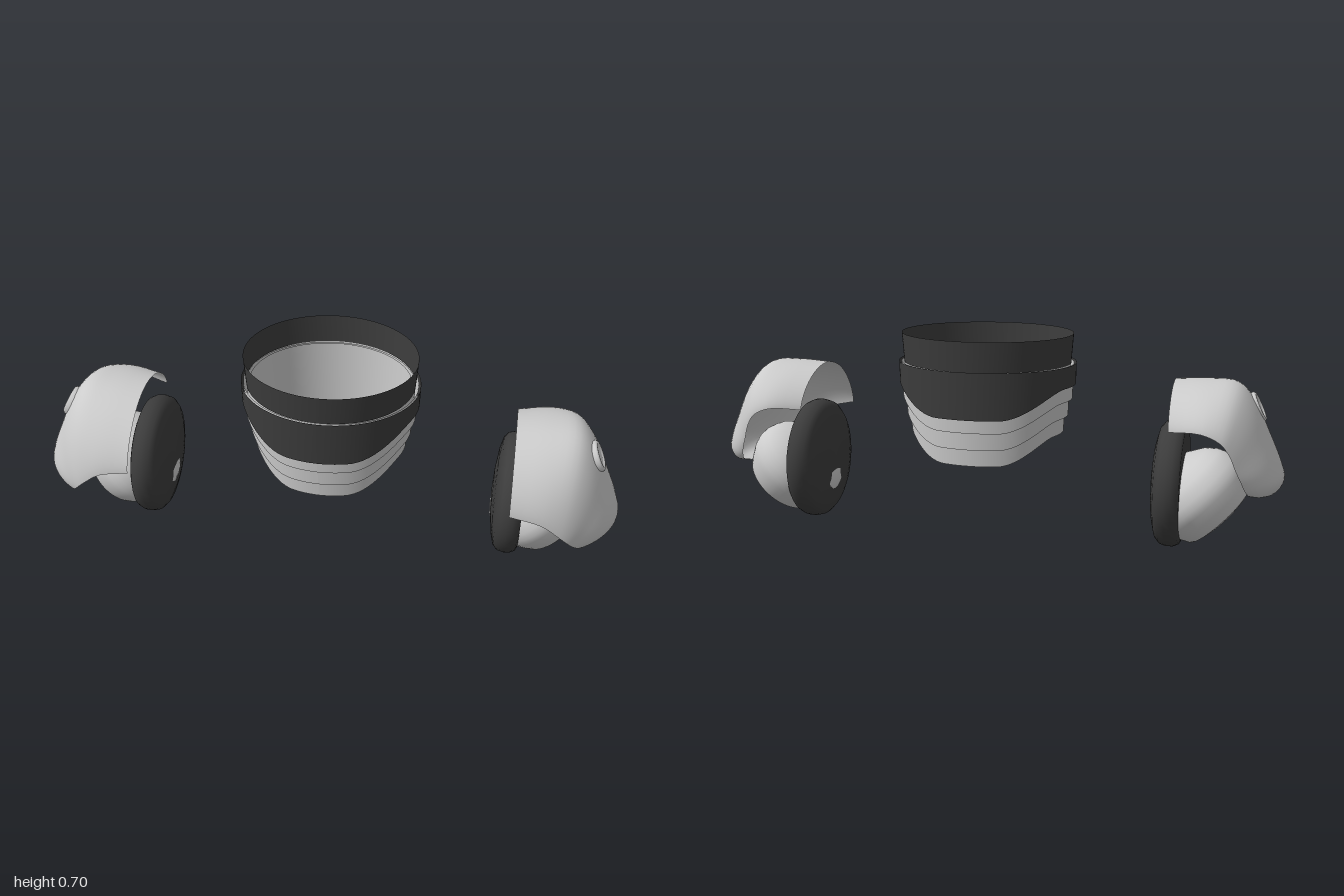
import * as THREE from 'three';

const grey = new THREE.MeshStandardMaterial({ color: 0xcccccc, side: THREE.DoubleSide });
const dark = new THREE.MeshStandardMaterial({ color: 0x3c3c3c, side: THREE.DoubleSide });

function mesh(name, geometry, material) {
  const m = new THREE.Mesh(geometry, material);
  m.name = name;
  return m;
}

function lathe(name, profile, material, segments = 40) {
  return mesh(name, new THREE.LatheGeometry(profile.map(p => new THREE.Vector2(...p)), segments), material);
}

// Open oval band; its lower edge rises by "lift" at the sides
function waistBand(name, rx, rz, top, bottom, lift, taper, material) {
  const g = new THREE.CylinderGeometry(1, 1, 1, 96, 1, true);
  const p = g.attributes.position;
  for (let i = 0; i < p.count; i++) {
    const x = p.getX(i), z = p.getZ(i), low = p.getY(i) < 0;
    const angle = THREE.MathUtils.radToDeg(Math.atan2(Math.abs(x), Math.abs(z)));
    const y = low ? bottom + lift * THREE.MathUtils.smoothstep(angle, 20, 72) : top;
    const k = low ? taper : 1;
    p.setXYZ(i, x * rx * k, y, z * rz * k - 0.03);
  }
  g.computeVertexNormals();
  return mesh(name, g, material);
}

// Shoulder shell: arches from front to back, lofted from the inner edge to the outer lip
function shoulderShell() {
  // crest x, crest y, end x, front end y, front z, back end y, back z
  const arches = [
    [0.63, 0.555, 0.635, 0.36, 0.292, 0.42, -0.175],
    [0.75, 0.562, 0.74, 0.335, 0.29, 0.425, -0.207],
    [0.835, 0.555, 0.80, 0.29, 0.283, 0.40, -0.208],
    [0.89, 0.50, 0.83, 0.26, 0.272, 0.36, -0.198],
    [0.945, 0.39, 0.85, 0.235, 0.255, 0.31, -0.185],
    [0.988, 0.29, 0.868, 0.215, 0.235, 0.27, -0.17],
    [1.0, 0.24, 0.88, 0.198, 0.21, 0.238, -0.152],
    [0.975, 0.198, 0.89, 0.19, 0.17, 0.217, -0.125],
    [0.915, 0.185, 0.885, 0.185, 0.135, 0.208, -0.09],
  ];
  const cols = 32, rows = 32, verts = [], index = [];
  for (let c = 0; c <= cols; c++) {
    const a = (c / cols - 0.5) * Math.PI;
    const drop = 1 - Math.pow(Math.max(Math.cos(a), 0), 1.3);
    const points = arches.map(([cx, cy, ex, fy, fz, by, bz]) => {
      const front = a > 0;
      return new THREE.Vector3(
        cx + (ex - cx) * drop,
        cy + ((front ? fy : by) - cy) * drop,
        0.04 + ((front ? fz : bz) - 0.04) * Math.abs(Math.sin(a)));
    });
    const curve = new THREE.CatmullRomCurve3(points);
    for (let r = 0; r <= rows; r++) verts.push(...curve.getPoint(r / rows).toArray());
  }
  for (let c = 0; c < cols; c++) {
    for (let r = 0; r < rows; r++) {
      const i = c * (rows + 1) + r, j = i + rows + 1;
      index.push(i, j, i + 1, j, j + 1, i + 1);
    }
  }
  const g = new THREE.BufferGeometry();
  g.setAttribute('position', new THREE.Float32BufferAttribute(verts, 3));
  g.setIndex(index);
  g.computeVertexNormals();
  return mesh('shoulderShell', g, grey);
}

function shoulder(name) {
  const group = new THREE.Group();
  group.name = name;
  group.add(shoulderShell());

  // Round socket on the outer slope of the shell
  const socket = lathe('shellSocket', [
    [0.054, -0.012], [0.052, 0.003], [0.047, 0.008], [0.041, 0.008],
    [0.037, 0.004], [0.034, 0.002], [0, 0.002]], grey, 28);
  socket.rotation.z = -1.12;
  socket.position.set(0.904, 0.472, 0.062);
  group.add(socket);

  // Dark disc with a shallow dome facing the middle
  const disc = lathe('jointDisc', [
    [0, 0], [0.19, 0], [0.203, 0.006], [0.212, 0.025], [0.213, 0.045],
    [0.207, 0.068], [0.19, 0.083], [0.15, 0.094], [0.08, 0.103], [0, 0.107]], dark, 48);
  disc.rotation.z = Math.PI / 2;
  disc.position.set(0.68, 0.215, -0.023);
  group.add(disc);

  // Ball body with a cupped end pointing outward and down
  const body = lathe('jointBody', [
    [0, 0.055], [0.05, 0.052], [0.08, 0.042], [0.094, 0.02], [0.1, 0.002],
    [0.106, -0.002], [0.112, 0.004], [0.114, 0.012], [0.12, 0.012], [0.126, 0.004],
    [0.133, 0.01], [0.15, 0.04], [0.166, 0.075], [0.171, 0.1], [0.169, 0.125],
    [0.16, 0.15], [0.15, 0.17], [0.122, 0.2], [0.06, 0.235], [0, 0.25]], grey, 48);
  body.rotation.z = Math.PI / 4;
  body.scale.z = 1.08;
  body.position.set(0.80, 0.11, -0.025);
  group.add(body);
  return group;
}

export function createModel() {
  const model = new THREE.Group();
  model.name = 'armourSet';

  // Waist: two dark bands over three stepped light ones
  const waist = new THREE.Group();
  waist.name = 'waist';
  waist.add(
    waistBand('upperBand', 0.294, 0.262, 0.70, 0.60, 0, 0.975, dark),
    waistBand('mainBand', 0.305, 0.266, 0.602, 0.445, 0.085, 0.995, dark),
    waistBand('lowerBand1', 0.297, 0.256, 0.60, 0.40, 0.08, 0.985, grey),
    waistBand('lowerBand2', 0.286, 0.248, 0.60, 0.342, 0.08, 0.975, grey),
    waistBand('lowerBand3', 0.276, 0.241, 0.60, 0.285, 0.08, 0.955, grey));
  model.add(waist);

  const left = shoulder('leftShoulder');
  const right = shoulder('rightShoulder');
  right.scale.x = -1;
  model.add(left, right);
  return model;
}
